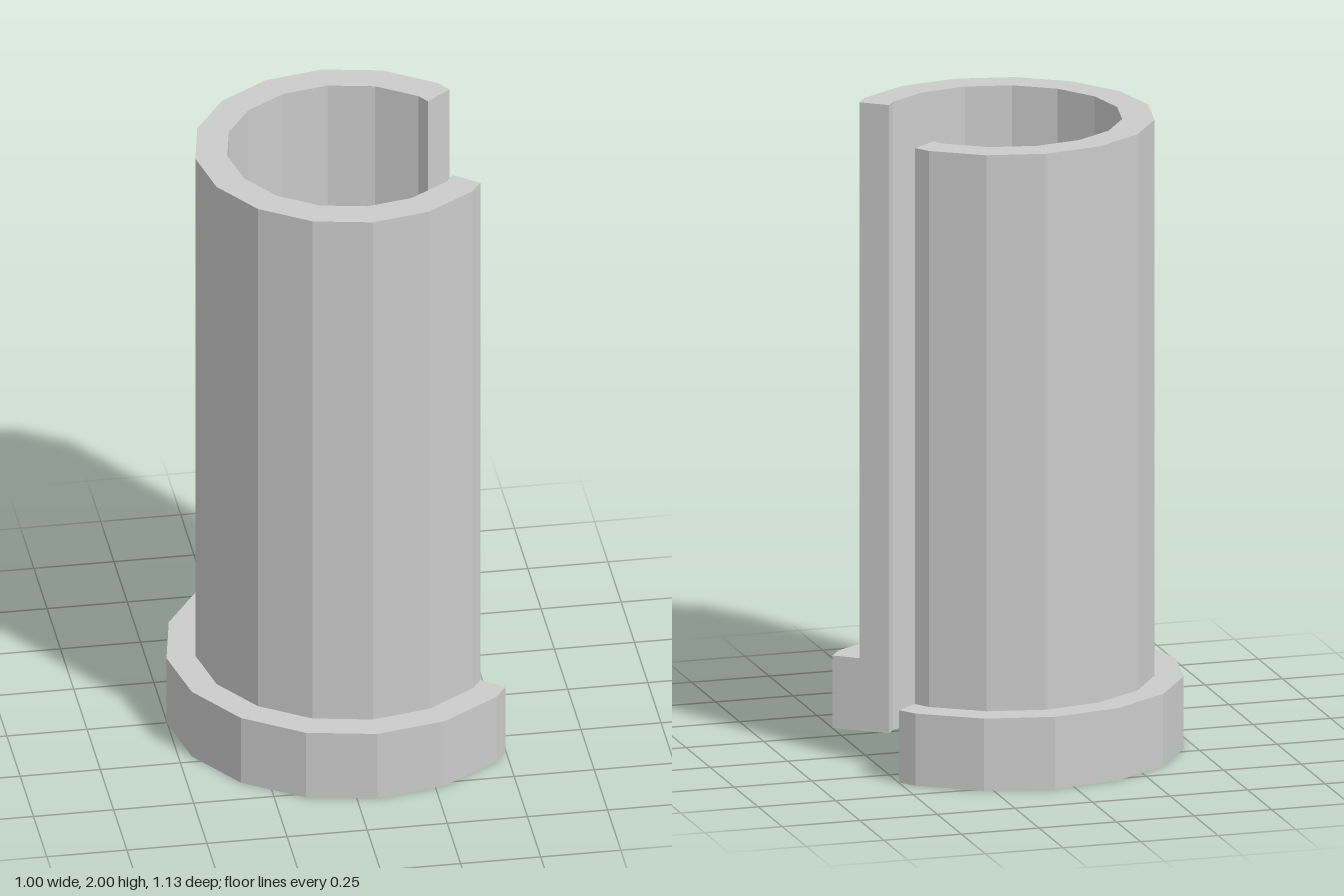
import * as THREE from 'three';

const CENTER_X = 0.063;
const STEP = Math.PI / 8; // 16-sided ring
const CUT = THREE.MathUtils.degToRad(38.4); // half angle of the open slot

// Wall cross-section as [radius, height], counter-clockwise, starting at the inner foot
const PROFILE = [[0.375, 0], [0.565, 0], [0.565, 0.23], [0.475, 0.23], [0.475, 2], [0.375, 2]];

// Cross-section placed at an angle; angles between corners stay on the flat facet
function section(angle) {
  const facetMiddle = (Math.floor(angle / STEP + 1e-6) + 0.5) * STEP;
  const k = Math.cos(STEP / 2) / Math.cos(angle - facetMiddle);
  return PROFILE.map(([r, y]) =>
    new THREE.Vector3(CENTER_X + r * k * Math.cos(angle), y, r * k * Math.sin(angle)));
}

// Sweep the cross-section around the slot-to-slot arc and close both slot faces
function sleeveGeometry() {
  const angles = [CUT];
  for (let i = 2; i <= 14; i++) angles.push(i * STEP);
  angles.push(2 * Math.PI - CUT);
  const rings = angles.map(section);
  const n = PROFILE.length;
  const points = [];

  for (let i = 0; i < rings.length - 1; i++) {
    const a = rings[i], b = rings[i + 1];
    for (let j = 0; j < n; j++) {
      const k = (j + 1) % n;
      points.push(a[j], a[k], b[k], a[j], b[k], b[j]);
    }
  }

  // Slot faces: fans from the inner corner of the L-shaped section
  const first = rings[0], last = rings[rings.length - 1];
  for (let j = 4; j < 8; j++) {
    const p = j % n, q = (j + 1) % n;
    points.push(first[3], first[q], first[p], last[3], last[p], last[q]);
  }

  const geometry = new THREE.BufferGeometry().setFromPoints(points);
  geometry.computeVertexNormals();
  return geometry;
}

export function createModel() {
  const group = new THREE.Group();
  group.name = 'slottedSleeve';
  const material = new THREE.MeshStandardMaterial({ color: 0xcccccc, flatShading: true });
  const sleeve = new THREE.Mesh(sleeveGeometry(), material);
  sleeve.name = 'flangedSleeve';
  group.add(sleeve);
  return group;
}
